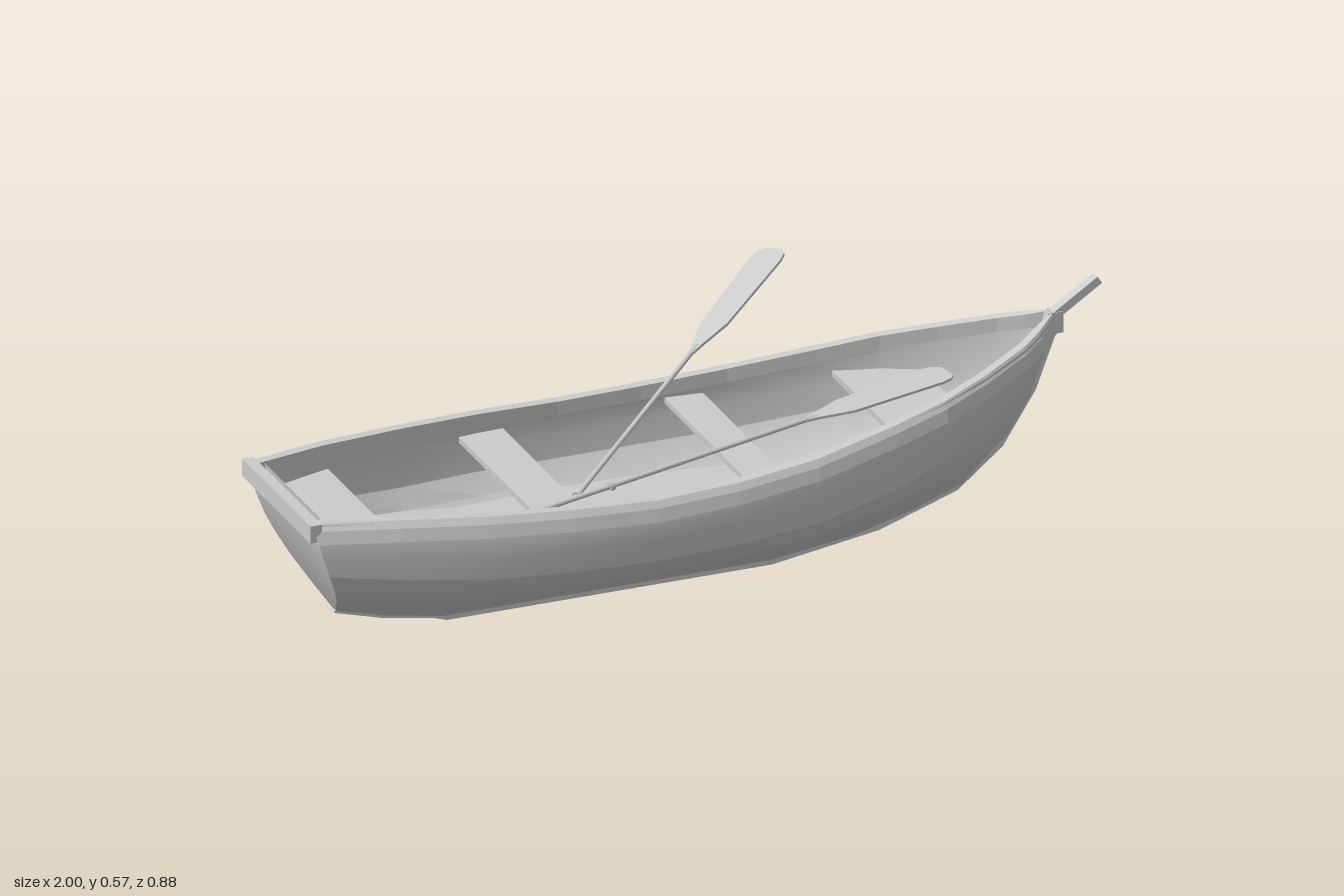
import * as THREE from 'three';
import { toCreasedNormals } from 'three/addons/utils/BufferGeometryUtils.js';

const mat = new THREE.MeshStandardMaterial({ color: 0xcccccc, side: THREE.DoubleSide });
const flat = new THREE.MeshStandardMaterial({ color: 0xcccccc, side: THREE.DoubleSide, flatShading: true });

// Hull stations: sheer x, sheer y, half width, keel x, keel y
const stations = [
  [-0.985, 0.375, 0.197, -0.86, 0.07], [-0.8, 0.37, 0.243, -0.74, 0.037],
  [-0.6, 0.36, 0.28, -0.6, 0.01], [-0.4, 0.352, 0.304, -0.4, 0.01],
  [-0.2, 0.345, 0.313, -0.2, 0.01], [0, 0.351, 0.307, 0, 0.01],
  [0.2, 0.367, 0.288, 0.2, 0.01], [0.4, 0.396, 0.248, 0.4, 0.035],
  [0.54, 0.42, 0.214, 0.54, 0.07], [0.66, 0.442, 0.165, 0.66, 0.11],
  [0.78, 0.468, 0.105, 0.77, 0.21], [0.83, 0.482, 0.069, 0.82, 0.285],
  [0.89, 0.5, 0.012, 0.875, 0.44],
];
// Section from keel to sheer: width fraction, height fraction
const section = [[0.03, 0], [0.25, 0.12], [0.6, 0.27], [0.85, 0.43], [0.97, 0.565], [1, 0.74], [1, 0.88], [0.965, 1]];

const { lerp, clamp, smoothstep } = THREE.MathUtils;

// Sections become finer towards the bow and fuller towards the stern
function widthFraction(w, h, x) {
  const bow = lerp(w, Math.pow(h, 0.7), smoothstep(x, 0.3, 0.9) * 0.6);
  return lerp(bow, Math.pow(w, 0.8), smoothstep(-x, 0.6, 1));
}

// Half width of the hull at a given length and height
function halfAt(x, y) {
  let i = 0;
  while (i < stations.length - 2 && stations[i + 1][0] < x) i++;
  const a = stations[i], b = stations[i + 1];
  const t = clamp((x - a[0]) / (b[0] - a[0]), 0, 1);
  const [, sy, hw, , ky] = a.map((v, k) => lerp(v, b[k], t));
  const h = clamp((y - ky) / (sy - ky), 0, 1);
  let j = 0;
  while (j < section.length - 2 && section[j + 1][1] < h) j++;
  const p = section[j], q = section[j + 1];
  const w = lerp(p[0], q[0], (h - p[1]) / (q[1] - p[1]));
  return hw * widthFraction(w, h, x);
}

// Surface through rows of points
function loft(rows) {
  const n = rows[0].length, index = [];
  for (let i = 0; i < rows.length - 1; i++) {
    for (let j = 0; j < n - 1; j++) {
      const a = i * n + j, b = a + n;
      index.push(a, a + 1, b, b, a + 1, b + 1);
    }
  }
  const geo = new THREE.BufferGeometry();
  geo.setAttribute('position', new THREE.Float32BufferAttribute(rows.flat(2), 3));
  geo.setIndex(index);
  geo.computeVertexNormals();
  return geo;
}

function add(parent, name, geo, material = flat) {
  const mesh = new THREE.Mesh(geo, material);
  mesh.name = name;
  parent.add(mesh);
}

// Hull skin, gunwale to gunwale, drawn in by an inset
function skinRows(inset) {
  return stations.map(([sx, sy, hw, kx, ky], i) => {
    const half = section.map(([w, h]) => [
      lerp(sx, kx, Math.pow(1 - h, 1.5)) + (i === 0 ? inset * 1.5 : 0),
      lerp(ky + inset, sy, h),
      Math.max(hw - inset, 0.002) * widthFraction(w, h, sx),
    ]);
    return [...half.slice().reverse(), ...half.map(([x, y, z]) => [x, y, -z])];
  });
}

// Stern panel closing the first station of a skin
function transom(rows) {
  const row = rows[0], n = row.length;
  return loft(row.slice(0, n / 2).map((p, i) => [p, row[n - 1 - i]]));
}

// Board fitted between the hull sides, its top following a height rule
function board(x0, x1, topAt, thickness, gap = 0.014) {
  const steps = 14, rows = [];
  for (let i = 0; i <= steps; i++) {
    const x = lerp(x0, x1, i / steps), y = topAt(x), low = y - thickness;
    const z = Math.max(halfAt(x, y - thickness / 2) - gap, 0.002);
    rows.push([[x, y, z], [x, y, -z], [x, low, -z], [x, low, z], [x, y, z]]);
  }
  // close both ends by collapsing them to a line
  const cap = row => [row[0], row[1], row[1], row[0], row[0]];
  return loft([cap(rows[0]), ...rows, cap(rows[steps])]);
}

// Oar lying along local x, blade flat to local y, tip at x = length
function makeOar(name, from, to, normal) {
  const oar = new THREE.Group();
  oar.name = name;
  const axis = to.clone().sub(from), length = axis.length();
  axis.normalize();
  const side = new THREE.Vector3().crossVectors(axis, normal).normalize();
  const up = new THREE.Vector3().crossVectors(side, axis);
  oar.quaternion.setFromRotationMatrix(new THREE.Matrix4().makeBasis(axis, up, side));
  oar.position.copy(from);
  const shaftLength = length - 0.36;
  add(oar, 'shaft', new THREE.CylinderGeometry(0.006, 0.006, shaftLength, 8)
    .rotateZ(Math.PI / 2).translate(shaftLength / 2, 0, 0), mat);
  add(oar, 'collar', new THREE.CylinderGeometry(0.011, 0.011, 0.012, 8)
    .rotateZ(Math.PI / 2).translate(0.21, 0, 0), mat);
  const edge = [[-0.39, 0.007], [-0.365, 0.012], [-0.28, 0.036], [-0.04, 0.043], [-0.015, 0.038], [0, 0.024]];
  const outline = [...edge, ...edge.map(([x, z]) => [x, -z]).reverse()]
    .map(([x, z]) => new THREE.Vector2(length + x, z));
  add(oar, 'blade', new THREE.ExtrudeGeometry(new THREE.Shape(outline), { depth: 0.006, bevelEnabled: false })
    .rotateX(Math.PI / 2).translate(0, 0.003, 0));
  return oar;
}

export function createModel() {
  const model = new THREE.Group();
  model.name = 'rowingBoat';
  const boat = new THREE.Group();
  boat.name = 'boat';
  boat.position.z = 0.114;
  boat.rotation.y = 0.0065;
  model.add(boat);

  // Outer planking, inner lining and the stern
  const outer = skinRows(0), inner = skinRows(0.018);
  add(boat, 'outerHull', toCreasedNormals(loft(outer), 0.3), mat);
  add(boat, 'innerHull', toCreasedNormals(loft(inner), 0.3), mat);
  add(boat, 'transom', transom(outer), mat);
  add(boat, 'innerTransom', transom(inner), mat);

  // Gunwales, flared at the lower outer edge
  for (const s of [1, -1]) {
    const rows = stations.map(([x, y, hw]) => {
      const inside = Math.max(hw - 0.034, 0), top = Math.max(hw - 0.01, 0.004);
      return [[top, 0.004], [hw + 0.001, -0.012], [hw + 0.009, -0.042], [inside, -0.03], [inside, 0.004], [top, 0.004]]
        .map(([z, dy]) => [x, y + dy, s * z]);
    });
    add(boat, s > 0 ? 'frontGunwale' : 'backGunwale', loft(rows));
  }
  add(boat, 'sternCap', new THREE.BoxGeometry(0.028, 0.042, 0.402).translate(-0.986, 0.359, 0));

  // Keel and stem, one curved timber
  const timber = [
    [-0.865, 0.065], [-0.75, 0.033], [-0.62, 0.01], [-0.59, 0], [0.2, 0], [0.46, 0.04], [0.65, 0.105], [0.76, 0.195],
    [0.84, 0.32], [0.885, 0.44], [0.9, 0.5], [0.87, 0.5], [0.855, 0.44], [0.81, 0.32], [0.735, 0.22],
    [0.64, 0.13], [0.45, 0.065], [0.2, 0.028], [-0.6, 0.028], [-0.85, 0.085],
  ].map(p => new THREE.Vector2(...p));
  add(boat, 'keelAndStem', new THREE.ExtrudeGeometry(new THREE.Shape(timber), { depth: 0.022, bevelEnabled: false })
    .translate(0, 0, -0.011));
  add(boat, 'stemBlock', new THREE.BoxGeometry(0.03, 0.052, 0.03).translate(0.891, 0.477, 0));
  add(boat, 'stemHead', new THREE.BoxGeometry(0.135, 0.02, 0.026)
    .rotateZ(0.58).translate(0.938, 0.527, 0));

  // Floor rising a little at the stern, and level seats
  add(boat, 'floor', board(-0.79, 0.68, x => 0.157 + 0.03 * smoothstep(-x, 0.4, 0.8), 0.012, 0.017));
  const seats = [
    ['sternSeat', -0.925, -0.78, 0.305], ['rearThwart', -0.44, -0.33, 0.302],
    ['middleThwart', 0.06, 0.15, 0.312], ['bowSeat', 0.44, 0.63, 0.34],
  ];
  for (const [name, x0, x1, y] of seats) add(boat, name, board(x0, x1, () => y, 0.014));

  // One oar over the side, one stowed along the seats
  const v = (x, y, z) => new THREE.Vector3(x, y, z);
  model.add(makeOar('raisedOar', v(-0.43, 0.195, 0.25), v(0.425, 0.509, -0.421), v(-0.35, 0.94, 0)));
  model.add(makeOar('stowedOar', v(-0.45, 0.318, 0.31), v(0.655, 0.364, 0.045), v(-0.04, 1, 0)));

  return model;
}
